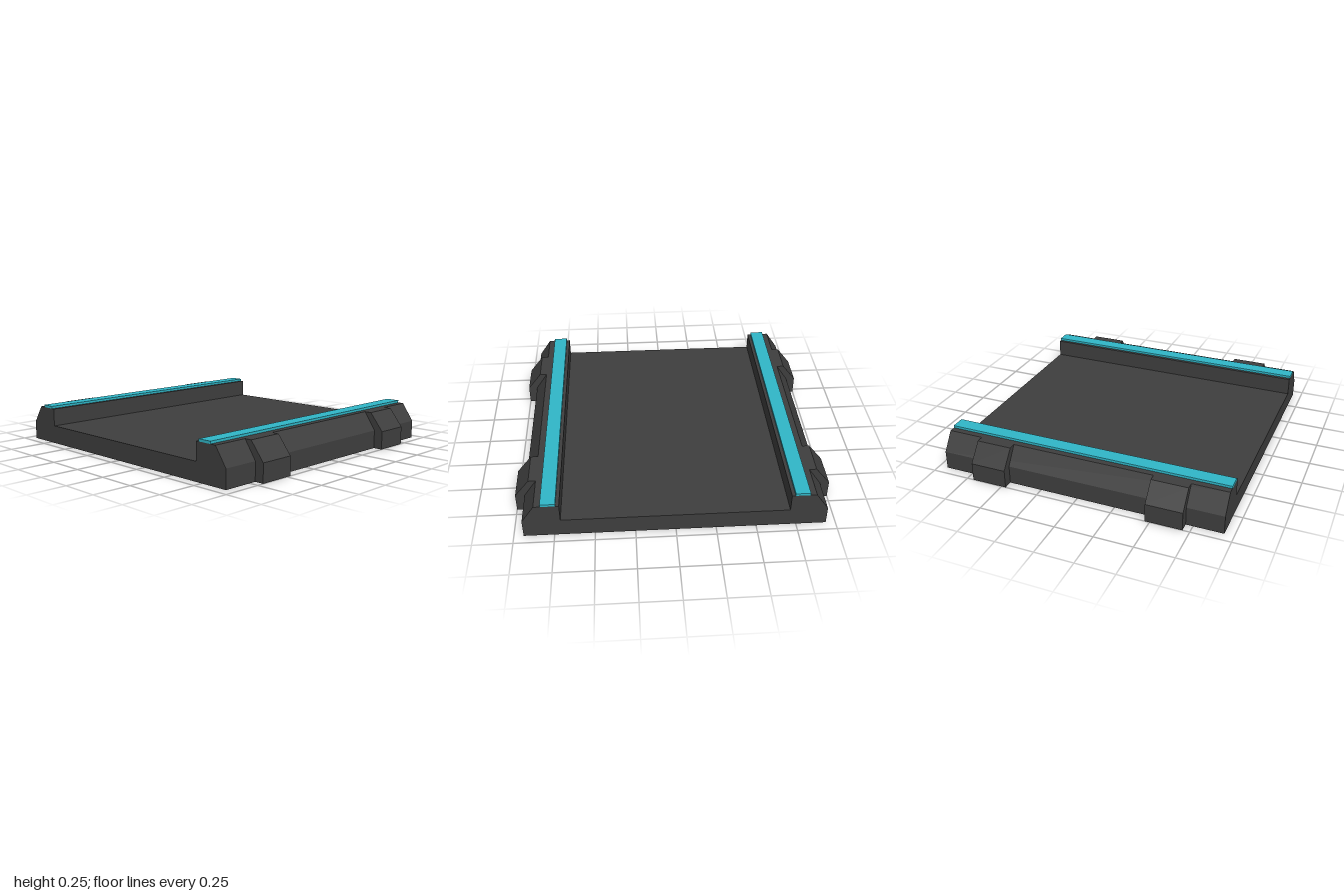
import * as THREE from 'three';

const HALF_LENGTH = 0.94;
const FLOOR_Y = 0.12;
const TOP_Y = 0.237;

// Extrudes an x/y outline from z0 to z1
function extrudeProfile(points, z0, z1) {
  const shape = new THREE.Shape(points.map(([x, y]) => new THREE.Vector2(x, y)));
  const geometry = new THREE.ExtrudeGeometry(shape, { depth: z1 - z0, bevelEnabled: false });
  return geometry.translate(0, 0, z0);
}

export function createModel() {
  const model = new THREE.Group();
  model.name = 'railedTray';

  const darkGrey = new THREE.MeshStandardMaterial({ color: 0x3e3e3e });
  darkGrey.name = 'darkGrey';
  const teal = new THREE.MeshStandardMaterial({ color: 0x30b7c8 });
  teal.name = 'teal';

  const add = (name, geometry, material) => {
    const mesh = new THREE.Mesh(geometry, material);
    mesh.name = name;
    model.add(mesh);
    return mesh;
  };

  // Tray: flat floor between two raised side walls with chamfered outer edges
  const half = [[0.94, 0], [0.94, FLOOR_Y], [0.86, TOP_Y], [0.706, TOP_Y], [0.706, FLOOR_Y]];
  const mirrored = half.map(([x, y]) => [-x, y]).reverse();
  add('tray', extrudeProfile([...half, ...mirrored], -HALF_LENGTH, HALF_LENGTH), darkGrey);

  // Ribs wrap the outside of each wall
  const rib = [[0.94, 0], [1, 0], [1, FLOOR_Y], [0.907, TOP_Y], [0.86, TOP_Y], [0.94, FLOOR_Y]];

  for (const [side, sx] of [['left', 1], ['right', -1]]) {
    const outline = rib.map(([x, y]) => [x * sx, y]);
    add(`${side}FrontRib`, extrudeProfile(outline, 0.47, 0.705), darkGrey);
    add(`${side}BackRib`, extrudeProfile(outline, -0.705, -0.47), darkGrey);

    // Coloured strip along the wall top
    const strip = add(`${side}Strip`, new THREE.BoxGeometry(0.092, 0.016, HALF_LENGTH * 2), teal);
    strip.position.set(sx * 0.774, TOP_Y + 0.008, 0);
  }

  return model;
}
